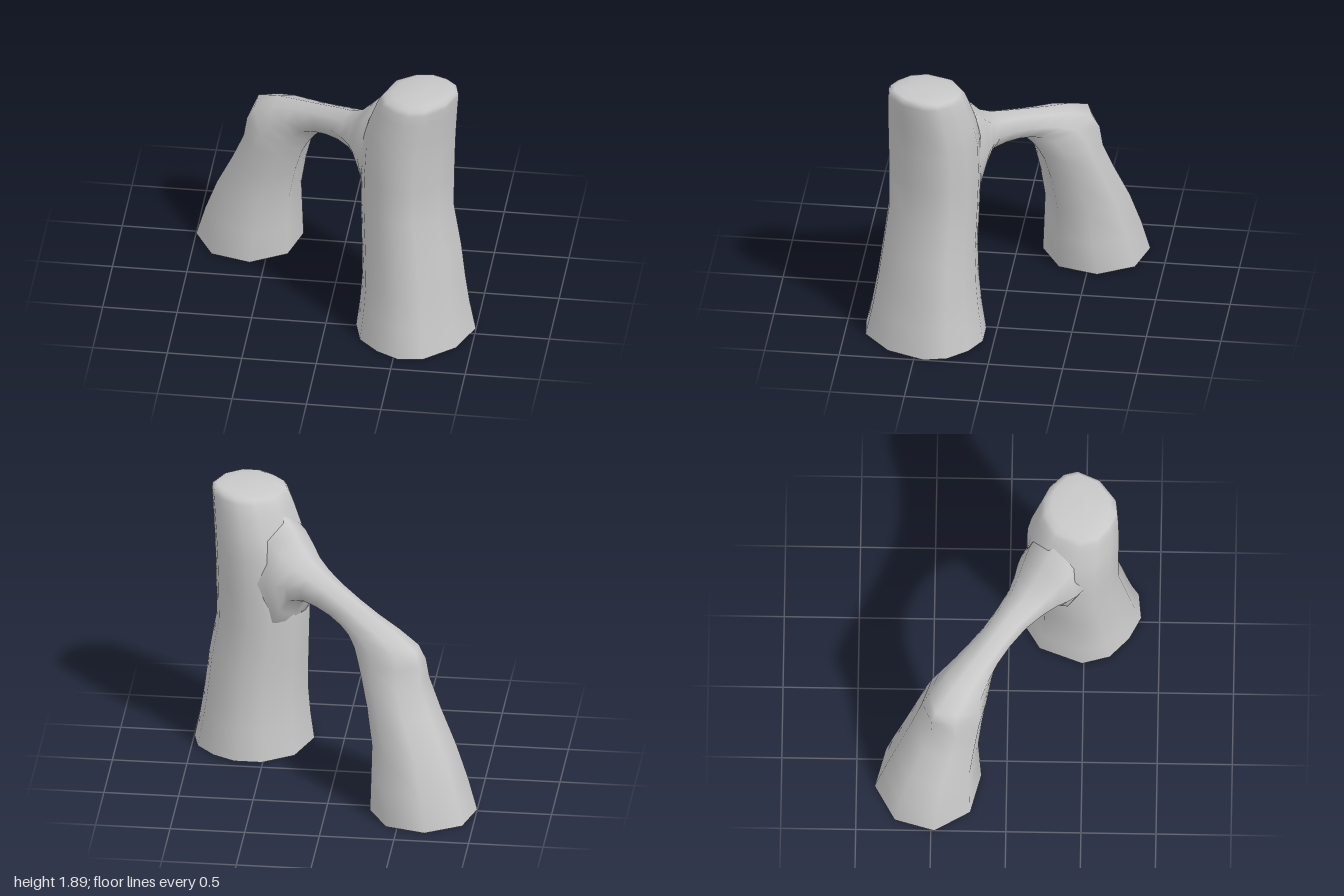
import * as THREE from 'three';

// Skin a list of closed rings (each an array of Vector3), open at both ends.
function loft(rings) {
  const n = rings[0].length;
  const index = [];
  for (let i = 0; i < rings.length - 1; i++) {
    for (let j = 0; j < n; j++) {
      const a = i * n + j, b = i * n + (j + 1) % n;
      index.push(a, a + n, b, b, a + n, b + n);
    }
  }
  const g = new THREE.BufferGeometry().setFromPoints(rings.flat());
  g.setIndex(index);
  g.computeVertexNormals();
  return g;
}

// The arch lies in an upright plane turned diagonally: s runs along it, t across it.
const DX = 0.79, DZ = 0.61;
const place = (s, y, t) => new THREE.Vector3(s * DX - t * DZ, y, s * DZ + t * DX);

// Corners of the uneven pillar outline: angle in degrees, relative radius
const OUTLINE = [
  [354, 1], [332, 1.02], [307, 1], [283, 1.02], [257, 1.02], [222, 1],
  [178, 1], [151, 1], [124, 0.97], [100, 1.01], [76, 0.98], [35, 0.91],
];

// Level ring with a slight slope towards +x
function pillarRing([y, x0, x1, z0, z1, slope = 0]) {
  return OUTLINE.map(([deg, r]) => {
    const a = deg * Math.PI / 180;
    const dx = r * Math.cos(a) * (x1 - x0) / 2;
    return new THREE.Vector3((x0 + x1) / 2 + dx, y + dx * slope, (z0 + z1) / 2 + r * Math.sin(a) * (z1 - z0) / 2);
  });
}

// Tilted ring from its outer point (s, y) to its inner point (s, y) with half width w, shifted by t
function archRing([so, yo, si, yi, w, t]) {
  return Array.from({ length: 8 }, (_, j) => {
    const a = j / 8 * Math.PI * 2;
    const k = (1 - Math.cos(a)) / 2;
    return place(so + (si - so) * k, yo + (yi - yo) * k, t + w * Math.sin(a));
  });
}

export function createModel() {
  const group = new THREE.Group();
  const stone = new THREE.MeshStandardMaterial({ color: 0xc8c8c8, side: THREE.DoubleSide });
  stone.name = 'grey stone';
  const add = (name, geometry) => {
    const mesh = new THREE.Mesh(geometry, stone);
    mesh.name = name;
    group.add(mesh);
  };

  // Tall pillar: y, x range, z range, slope; closed by a rounded top
  add('tallPillar', loft([
    [0, 0.20, 1.00, 0.07, 0.88],
    [0.2, 0.225, 0.96, 0.10, 0.835],
    [0.4, 0.24, 0.93, 0.12, 0.80],
    [0.65, 0.235, 0.90, 0.13, 0.765],
    [0.95, 0.225, 0.847, 0.12, 0.727],
    [1.2, 0.225, 0.85, 0.11, 0.727],
    [1.45, 0.24, 0.857, 0.115, 0.73],
    [1.6, 0.28, 0.866, 0.14, 0.73],
    [1.75, 0.335, 0.877, 0.185, 0.727],
    [1.825, 0.362, 0.885, 0.21, 0.722, 0.05],
    [1.858, 0.385, 0.882, 0.235, 0.71, 0.06],
    [1.875, 0.44, 0.855, 0.28, 0.675, 0.06],
    [1.885, 0.53, 0.77, 0.37, 0.59, 0.03],
    [1.887, 0.65, 0.65, 0.48, 0.48],
  ].map(pillarRing)));

  // Short leg bending over into the bridge, which flares and sinks into the pillar
  add('shortLegAndBridge', loft([
    [-1.19, 0, -0.475, 0, 0.36, -0.02],
    [-1.12, 0.22, -0.47, 0.22, 0.325, -0.02],
    [-1.025, 0.45, -0.465, 0.45, 0.285, -0.02],
    [-0.89, 0.7, -0.405, 0.7, 0.25, -0.02],
    [-0.80, 0.9, -0.34, 0.88, 0.225, -0.02],
    [-0.795, 1.04, -0.28, 0.98, 0.20, -0.02],
    [-0.75, 1.14, -0.225, 1.055, 0.17, -0.02],
    [-0.57, 1.215, -0.17, 1.11, 0.14, -0.02],
    [-0.38, 1.27, -0.1, 1.145, 0.12, -0.02],
    [-0.2, 1.325, 0, 1.17, 0.112, -0.015],
    [0, 1.388, 0.11, 1.185, 0.12, -0.01],
    [0.15, 1.435, 0.235, 1.188, 0.145, 0],
    [0.26, 1.495, 0.33, 1.14, 0.18, 0],
    [0.36, 1.6, 0.38, 1.02, 0.215, 0],
    [0.45, 1.7, 0.42, 0.9, 0.235, 0],
    [0.62, 1.8, 0.52, 0.8, 0.25, 0],
  ].map(archRing)));

  return group;
}
